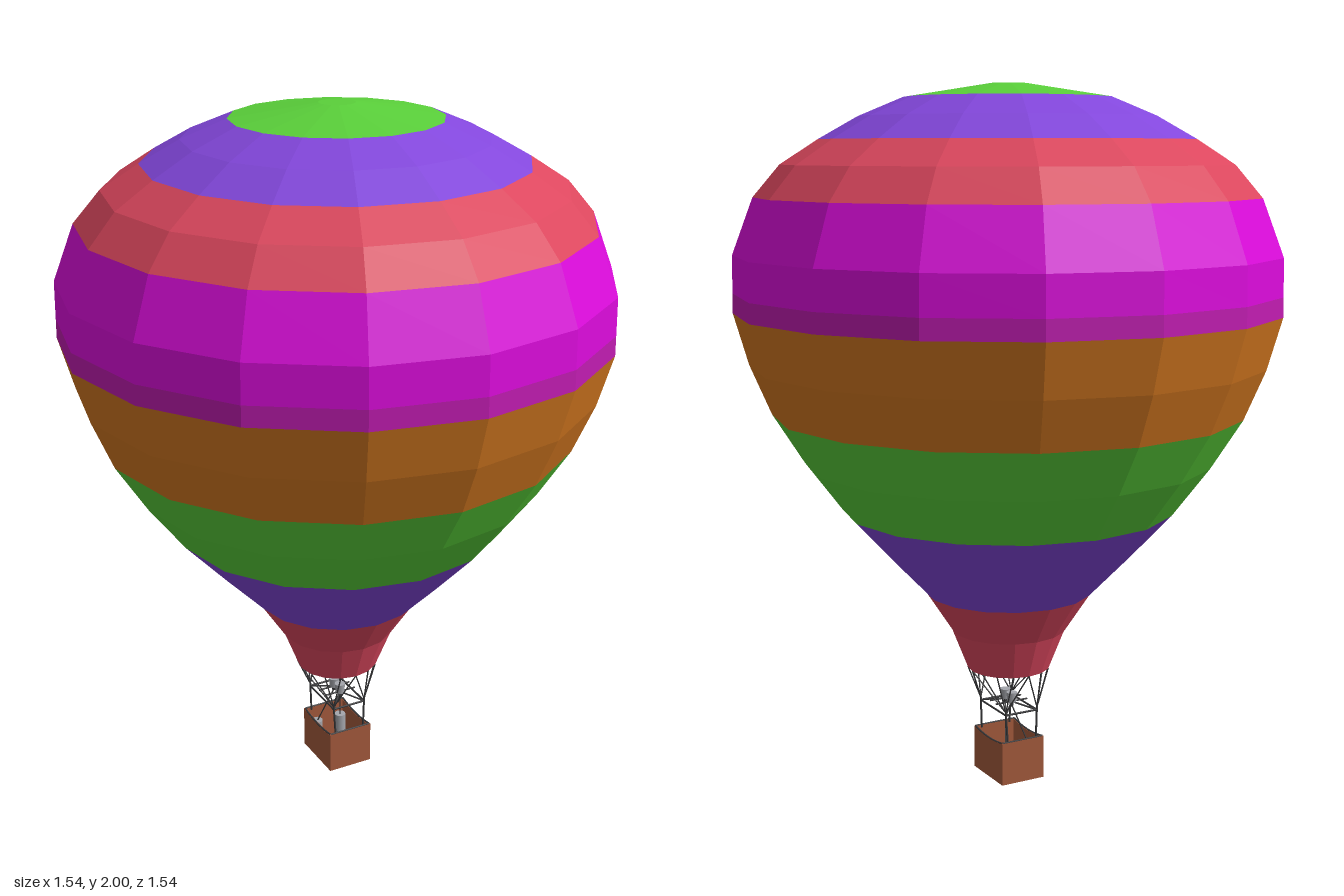
import * as THREE from 'three';

const mat = (name, color, side = THREE.FrontSide) => {
  const m = new THREE.MeshStandardMaterial({ color, side });
  m.name = name;
  return m;
};

export function createModel() {
  const model = new THREE.Group();
  model.name = 'hotAirBalloon';
  const D = THREE.DoubleSide;
  const green = mat('green', 0x5ad03a, D), violet = mat('violet', 0x8347dc, D);
  const red = mat('red', 0xdc475e, D), magenta = mat('magenta', 0xdc0cdc, D);
  const plum = mat('plum', 0xc01cb0, D), orange = mat('orange', 0xd47820, D);
  const wicker = mat('wicker', 0xa45a3c), dark = mat('darkRope', 0x3a3a3c);
  const metal = mat('metal', 0xa4a6ac);

  const add = (parent, name, geometry, material, x = 0, y = 0, z = 0) => {
    const mesh = new THREE.Mesh(geometry, material);
    mesh.name = name;
    mesh.position.set(x, y, z);
    parent.add(mesh);
    return mesh;
  };
  const group = (name) => {
    const g = new THREE.Group();
    g.name = name;
    model.add(g);
    return g;
  };

  // Envelope: faceted 16-gore bands, each a short lathe of [radius, height]
  const envelope = group('envelope');
  const bands = [
    ['mouthBand', red, [[0.12, 0.33], [0.165, 0.445], [0.24, 0.56]]],
    ['lowerVioletBand', violet, [[0.24, 0.56], [0.355, 0.68], [0.475, 0.81]]],
    ['lowerGreenBand', green, [[0.475, 0.81], [0.58, 0.95], [0.668, 1.09]]],
    ['orangeBand', orange, [[0.668, 1.09], [0.727, 1.23], [0.768, 1.375]]],
    ['plumBand', plum, [[0.768, 1.375], [0.767, 1.43]]],
    ['magentaBand', magenta, [[0.767, 1.43], [0.765, 1.535], [0.705, 1.692]]],
    ['upperRedBand', red, [[0.705, 1.692], [0.63, 1.78], [0.525, 1.848]]],
    ['upperVioletBand', violet, [[0.525, 1.848], [0.415, 1.91], [0.29, 1.962]]],
    ['crown', green, [[0.29, 1.962], [0.05, 2], [0, 2]]],
  ];
  for (const [name, material, profile] of bands) {
    const lathe = new THREE.LatheGeometry(profile.map(([r, y]) => new THREE.Vector2(r, y)), 16);
    const flat = lathe.toNonIndexed();
    flat.computeVertexNormals();
    add(envelope, name, flat, material);
  }

  // Straight rod between two points
  const rod = (parent, name, a, b, r = 0.0025, material = dark) => {
    const from = new THREE.Vector3(...a), to = new THREE.Vector3(...b);
    const dir = to.clone().sub(from);
    const mesh = add(parent, name, new THREE.CylinderGeometry(r, r, dir.length(), 6), material);
    mesh.position.copy(from).add(to).multiplyScalar(0.5);
    mesh.quaternion.setFromUnitVectors(new THREE.Vector3(0, 1, 0), dir.normalize());
  };

  // Basket: floor, straight end walls and side walls with a dipped rim
  const basket = group('basket');
  const W = 0.069, L = 0.087, H = 0.127, T = 0.007;
  add(basket, 'floor', new THREE.BoxGeometry(W * 2, 0.01, L * 2), wicker, 0, 0.005, 0);
  const side = new THREE.Shape();
  side.moveTo(-L, 0);
  side.lineTo(L, 0);
  side.lineTo(L, H);
  side.quadraticCurveTo(0, H - 0.018, -L, H);
  side.closePath();
  const sideGeo = new THREE.ExtrudeGeometry(side, { depth: T, bevelEnabled: false, curveSegments: 8 });
  sideGeo.rotateY(Math.PI / 2).translate(-T / 2, 0, 0);
  const rimCurve = new THREE.QuadraticBezierCurve3(
    new THREE.Vector3(0, H, -L + 0.003), new THREE.Vector3(0, H - 0.018, 0), new THREE.Vector3(0, H, L - 0.003));
  for (const s of [-1, 1]) {
    add(basket, 'sideWall', sideGeo, wicker, s * (W - T / 2), 0, 0);
    add(basket, 'endWall', new THREE.BoxGeometry(W * 2, H, T), wicker, 0, H / 2, s * (L - T / 2));
    add(basket, 'sideRim', new THREE.TubeGeometry(rimCurve, 8, 0.003, 6), dark, s * (W - 0.003), 0, 0);
    rod(basket, 'endRim', [-W + 0.003, H, s * (L - 0.003)], [W - 0.003, H, s * (L - 0.003)], 0.003);
  }

  // Burner frame: uprights, a lower rail and a crossed support
  const frame = group('burnerFrame');
  const fx = 0.052, fz = 0.077, fy = 0.208;
  for (const s of [-1, 1]) {
    rod(frame, 'endRail', [-fx, fy, s * fz], [fx, fy, s * fz], 0.003);
    rod(frame, 'sideRail', [s * fx, fy, -fz], [s * fx, fy, fz], 0.003);
    rod(frame, 'burnerRail', [-fx, fy + 0.016, s * 0.018], [fx, fy + 0.016, s * 0.018]);
    for (const t of [-1, 1]) {
      rod(frame, 'upright', [s * 0.047, 0.12, t * 0.08], [s * fx, fy + 0.01, t * fz], 0.003);
      rod(frame, 'brace', [s * fx, fy, t * fz], [0, fy + 0.016, t * 0.018]);
    }
  }

  // Rigging: each frame corner fans out to its quarter of the mouth
  const rigging = group('rigging');
  for (let q = 0; q < 4; q++) {
    const mid = Math.PI / 4 + q * Math.PI / 2;
    const corner = [Math.sign(Math.sin(mid)) * fx, fy + 0.008, Math.sign(Math.cos(mid)) * fz];
    for (let i = 0; i <= 4; i++) {
      const a = (q * 4 + i) * Math.PI / 8;
      rod(rigging, 'rope', corner, [Math.sin(a) * 0.12, 0.332, Math.cos(a) * 0.12], 0.002);
    }
  }

  // Twin burners and the fuel tanks standing in the basket
  const equipment = group('equipment');
  for (const s of [-1, 1]) {
    add(equipment, 'burner', new THREE.CylinderGeometry(0.016, 0.013, 0.03, 12), metal, 0, 0.238, s * 0.019);
    add(equipment, 'nozzle', new THREE.CylinderGeometry(0.006, 0.006, 0.012, 8), dark, 0, 0.218, s * 0.019);
    add(equipment, 'fuelTank', new THREE.CylinderGeometry(0.017, 0.017, 0.085, 12), metal, s * 0.04, 0.052, -0.055);
    rod(equipment, 'fuelHose', [s * 0.04, 0.09, -0.055], [0, 0.214, s * 0.019], 0.002);
  }
  return model;
}
